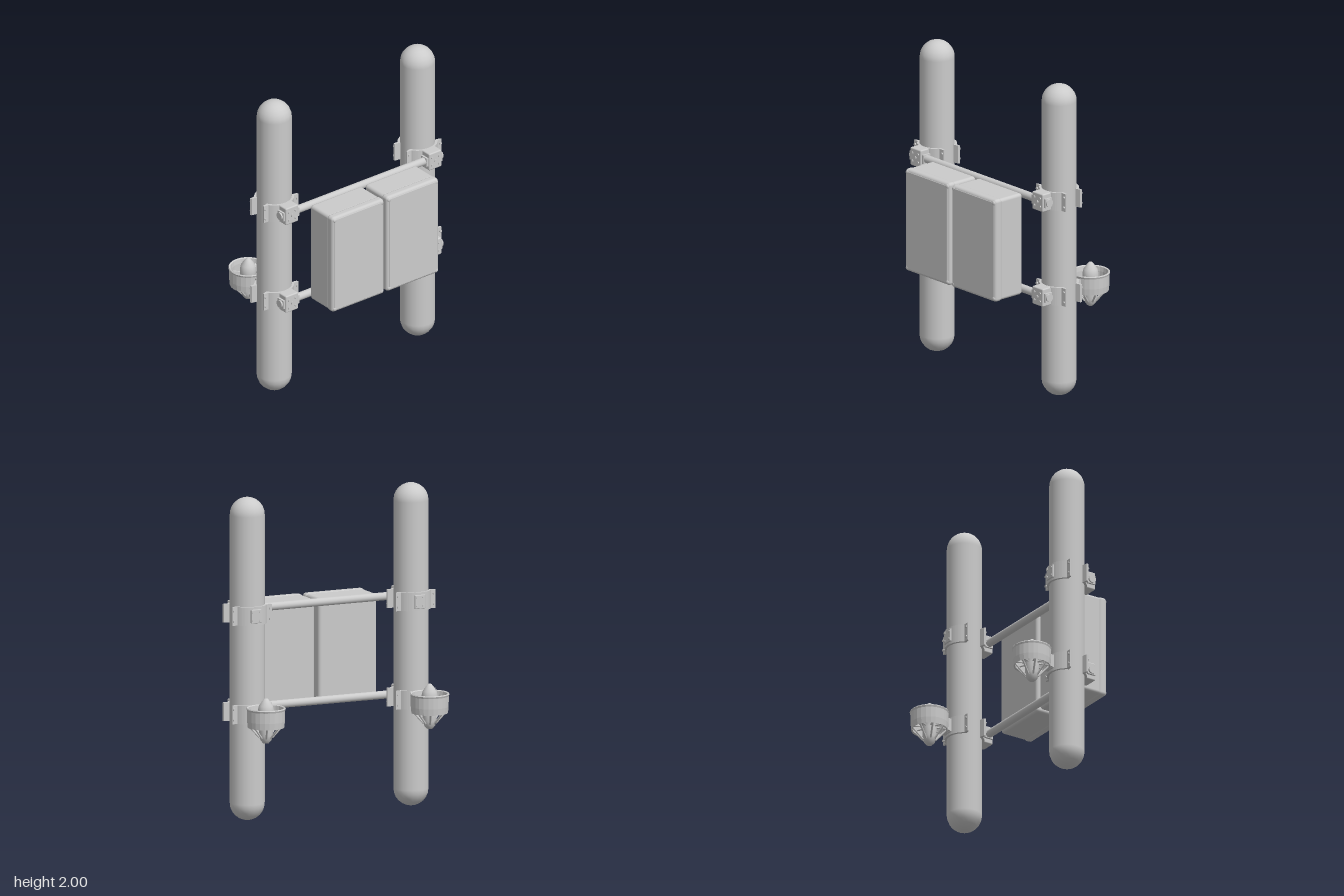
import * as THREE from 'three';
import { RoundedBoxGeometry } from 'three/addons/geometries/RoundedBoxGeometry.js';

const mat = new THREE.MeshStandardMaterial({ color: 0xcccccc, side: THREE.DoubleSide });
const flat = new THREE.MeshStandardMaterial({ color: 0xcccccc, flatShading: true, side: THREE.DoubleSide });
const TUBE_X = 0.557, TUBE_Z = -0.01, BAR_Z = 0.13, LEVELS = [0.67, 1.28], R = 0.108;

function add(parent, name, geo, x = 0, y = 0, z = 0, m = mat) {
  const mesh = new THREE.Mesh(geo, m);
  mesh.name = name;
  mesh.position.set(x, y, z);
  parent.add(mesh);
  return mesh;
}

// rod between two points
function rod(parent, name, a, b, r) {
  const from = new THREE.Vector3(...a), to = new THREE.Vector3(...b);
  const dir = to.clone().sub(from);
  const mesh = add(parent, name, new THREE.CylinderGeometry(r, r, dir.length(), 8));
  mesh.position.copy(from).add(to).multiplyScalar(0.5);
  mesh.quaternion.setFromUnitVectors(new THREE.Vector3(0, 1, 0), dir.normalize());
  return mesh;
}

// half clamp band opening towards -z, with a flared ear at each end
function bandGeometry(height) {
  const a = 0.48, outer = 0.122, s = new THREE.Shape();
  s.moveTo(R * Math.cos(a), R * Math.sin(a));
  s.lineTo(0.13, 0.056);
  s.lineTo(0.134, 0.068);
  s.lineTo(outer * Math.cos(a + 0.12), outer * Math.sin(a + 0.12));
  s.absarc(0, 0, outer, a + 0.12, Math.PI - a - 0.12, false);
  s.lineTo(-0.134, 0.068);
  s.lineTo(-0.13, 0.056);
  s.absarc(0, 0, R - 0.002, Math.PI - a, a, true);
  const g = new THREE.ExtrudeGeometry(s, { depth: height, bevelEnabled: false, curveSegments: 12 });
  return g.rotateX(Math.PI / 2).translate(0, height / 2, 0);
}

function makeClamp() {
  const g = new THREE.Group();
  g.name = 'clamp';
  const band = bandGeometry(0.115);
  add(g, 'frontBand', band);
  add(g, 'backBand', band).rotation.y = Math.PI;
  // block that grips the crossbar
  add(g, 'barBlock', new RoundedBoxGeometry(0.098, 0.115, 0.085, 2, 0.008), 0, 0, BAR_Z - TUBE_Z - 0.005);
  add(g, 'barCollar', new THREE.BoxGeometry(0.125, 0.056, 0.056), 0, 0, BAR_Z - TUBE_Z);
  add(g, 'backPlate', new RoundedBoxGeometry(0.07, 0.085, 0.016, 1, 0.004), 0, 0, -0.122);
  // screws on the block, ears and back plate
  const screw = new THREE.CylinderGeometry(0.008, 0.008, 0.01, 8).rotateX(Math.PI / 2);
  for (const x of [-1, 1]) for (const y of [-1, 1]) {
    add(g, 'blockScrew', screw, x * 0.026, y * 0.026, 0.179);
    add(g, 'earScrew', screw, x * 0.122, y * 0.032, 0.072);
    add(g, 'earScrew', screw, x * 0.122, y * 0.032, -0.072);
    add(g, 'plateScrew', screw, x * 0.022, y * 0.026, -0.13);
  }
  add(g, 'blockBolt', new THREE.CylinderGeometry(0.011, 0.011, 0.012, 6).rotateX(Math.PI / 2), 0, 0, 0.179);
  return g;
}

function makeThruster() {
  const g = new THREE.Group();
  g.name = 'thruster';
  const v = (x, y) => new THREE.Vector2(x, y);
  // open duct, slightly wider at the top
  const duct = [v(0.103, -0.055), v(0.112, -0.06), v(0.116, -0.02), v(0.117, 0.045), v(0.121, 0.056),
    v(0.117, 0.062), v(0.108, 0.058), v(0.104, 0.03), v(0.103, -0.055)];
  add(g, 'duct', new THREE.LatheGeometry(duct, 24), 0, 0, 0, flat);
  // motor pod below, pointed nose above
  const pod = [v(0, -0.162), v(0.018, -0.158), v(0.034, -0.14), v(0.042, -0.11), v(0.044, -0.05), v(0.038, -0.01),
    v(0.05, 0), v(0.05, 0.045), v(0.043, 0.075), v(0.025, 0.1), v(0.012, 0.117), v(0, 0.12)];
  add(g, 'motorPod', new THREE.LatheGeometry(pod, 16));
  // guard spokes and lower struts
  for (let i = 0; i < 8; i++) {
    const a = (i + 0.5) * Math.PI / 4, c = Math.cos(a), s = Math.sin(a);
    rod(g, 'guardSpoke', [0.04 * c, -0.04, 0.04 * s], [0.106 * c, -0.04, 0.106 * s], 0.005);
    rod(g, 'strut', [0.106 * c, -0.048, 0.106 * s], [0.038 * c, -0.125, 0.038 * s], 0.006);
  }
  // pitched propeller blades
  const blade = new THREE.Shape();
  blade.moveTo(0.035, -0.014);
  blade.lineTo(0.09, -0.035);
  blade.quadraticCurveTo(0.108, 0, 0.09, 0.03);
  blade.lineTo(0.035, 0.014);
  const bladeGeo = new THREE.ExtrudeGeometry(blade, { depth: 0.005, bevelEnabled: false, curveSegments: 4 })
    .rotateX(Math.PI / 2 + 0.5).translate(0, 0.02, 0);
  for (let i = 0; i < 3; i++) add(g, 'blade', bladeGeo).rotation.y = i * Math.PI * 2 / 3 + 0.1;
  // arm joining the duct to the clamp
  add(g, 'mountArm', new THREE.BoxGeometry(0.07, 0.08, 0.03), 0, 0, 0.122);
  return g;
}

function makeCase() {
  const g = new THREE.Group();
  g.name = 'equipmentCase';
  add(g, 'caseBody', new RoundedBoxGeometry(0.398, 0.652, 0.19, 3, 0.02), 0, 0, -0.02);
  add(g, 'caseLid', new RoundedBoxGeometry(0.404, 0.658, 0.06, 3, 0.02), 0, 0, 0.082);
  add(g, 'lidPanel', new RoundedBoxGeometry(0.372, 0.626, 0.01, 1, 0.003), 0, 0, 0.109);
  const knob = new THREE.SphereGeometry(0.015, 12, 8).scale(1, 1, 0.6);
  for (const x of [-1, 1]) for (const y of [-1, 1]) add(g, 'cornerScrew', knob, x * 0.181, y * 0.307, 0.107);
  return g;
}

export function createModel() {
  const model = new THREE.Group();
  model.name = 'floatingFrame';
  for (const side of [-1, 1]) {
    add(model, 'floatTube', new THREE.CapsuleGeometry(R, 2 - 2 * R, 6, 20), side * TUBE_X, 1, TUBE_Z);
    for (const y of LEVELS) {
      const clamp = makeClamp();
      clamp.position.set(side * TUBE_X, y, TUBE_Z);
      model.add(clamp);
    }
    const thruster = makeThruster();
    thruster.position.set(side * TUBE_X, 0.675, -0.267);
    model.add(thruster);
    const box = makeCase();
    box.position.set(side * 0.212, 0.97, 0.271);
    model.add(box);
  }
  // crossbars joining the two tubes
  for (const y of LEVELS) {
    add(model, 'crossbar', new THREE.CylinderGeometry(0.025, 0.025, 1.26, 16).rotateZ(Math.PI / 2), 0, y, BAR_Z);
  }
  return model;
}
